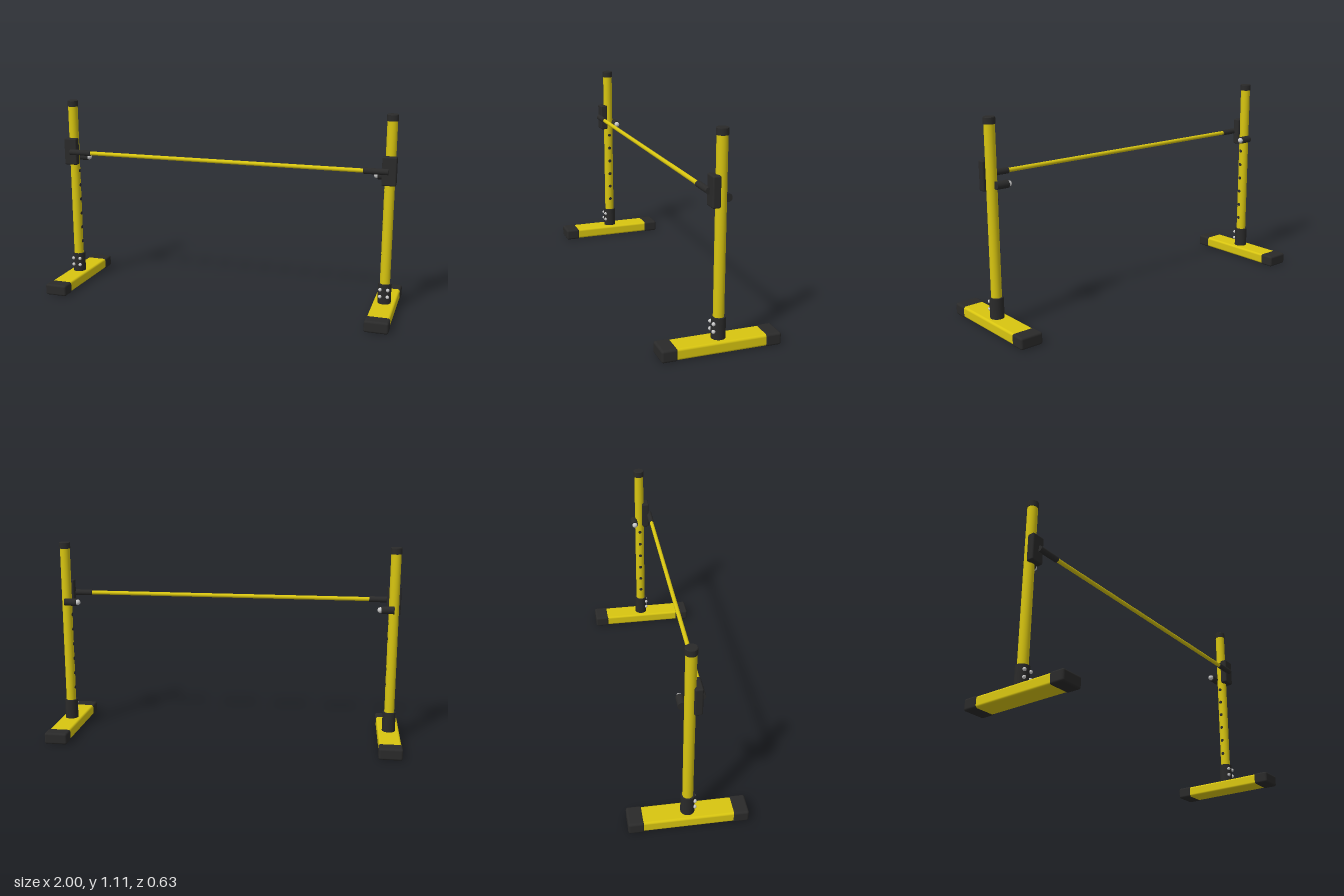
import * as THREE from 'three';
import { RoundedBoxGeometry } from 'three/addons/geometries/RoundedBoxGeometry.js';

const material = (name, color) => {
  const m = new THREE.MeshStandardMaterial({ color });
  m.name = name;
  return m;
};

export function createModel() {
  const yellow = material('yellow paint', 0xd8c510);
  const black = material('black plastic', 0x2a2a2a);
  const steel = material('steel', 0xc8c8c8);
  const root = new THREE.Group();
  root.name = 'hurdle';

  const add = (parent, name, geometry, mat, x, y, z) => {
    const mesh = new THREE.Mesh(geometry, mat);
    mesh.name = name;
    mesh.position.set(x, y, z);
    parent.add(mesh);
    return mesh;
  };
  const box = (w, h, d, r) => new RoundedBoxGeometry(w, h, d, 3, r);
  const rod = (r, length, sides = 24) => new THREE.CylinderGeometry(r, r, length, sides);
  const rodX = (r, length) => rod(r, length).rotateZ(Math.PI / 2);

  // Cap profile with a small chamfer at the top edge
  const capGeometry = new THREE.LatheGeometry([
    [0, 0], [0.031, 0], [0.031, 0], [0.031, 0.033], [0.031, 0.033],
    [0.028, 0.036], [0.028, 0.036], [0, 0.036],
  ].map(([x, y]) => new THREE.Vector2(x, y)), 24);

  for (const side of [-1, 1]) {
    const stand = new THREE.Group();
    stand.name = side > 0 ? 'leftStand' : 'rightStand';
    stand.position.x = side * 0.935;
    root.add(stand);

    // Foot tube with end caps
    add(stand, 'foot', box(0.122, 0.06, 0.5, 0.012), yellow, 0, 0.0325, 0);
    for (const end of [-1, 1])
      add(stand, 'footCap', box(0.13, 0.065, 0.084, 0.012), black, 0, 0.0325, end * 0.273);

    // Upright, its sleeve and top cap
    add(stand, 'post', rod(0.028, 1.02), yellow, 0, 0.575, 0);
    add(stand, 'sleeve', rod(0.037, 0.115), black, 0, 0.1175, 0);
    add(stand, 'topCap', capGeometry, black, 0, 1.076, 0);

    // Sleeve bolts on the front
    for (const x of [-0.021, 0.021])
      for (const y of [0.105, 0.145])
        add(stand, 'bolt', new THREE.SphereGeometry(0.01, 16, 10), steel, x, y, 0.034);

    // Height adjustment holes on the inner face
    for (let i = 0; i < 6; i++)
      add(stand, 'hole', rodX(0.01, 0.004), black, -side * 0.0268, 0.25 + i * 0.088, 0);

    // Sliding bracket and bar holder
    add(stand, 'bracket', box(0.078, 0.157, 0.042, 0.008), black, 0, 0.8125, 0.036);
    add(stand, 'barHolder', rodX(0.0165, 0.132), black, -side * 0.069, 0.812, 0.061);

    // Locking pin with a steel tip behind the post
    add(stand, 'lockingPin', rodX(0.021, 0.07), black, -side * 0.034, 0.77, -0.038);
    add(stand, 'pinTip', new THREE.SphereGeometry(0.016, 20, 14), steel, -side * 0.075, 0.77, -0.038);
  }

  // Crossbar
  add(root, 'crossbar', rodX(0.0115, 1.66), yellow, 0, 0.812, 0.061);
  return root;
}
